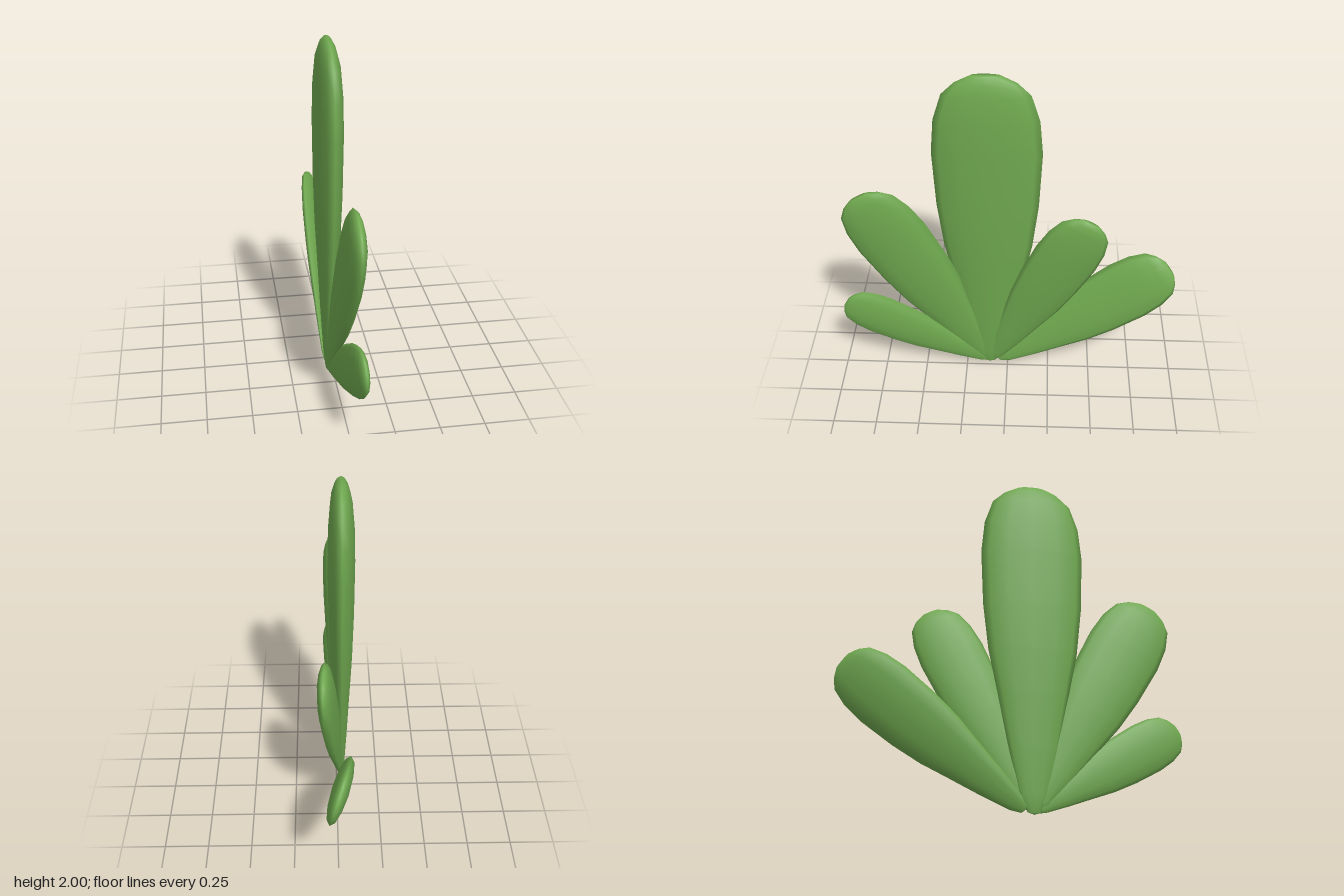
import * as THREE from 'three';

// Paddle outline: [relative half width, fraction of length]
const PROFILE = [
  [0, 0], [0.12, 0.006], [0.26, 0.05], [0.46, 0.18], [0.66, 0.33], [0.84, 0.46],
  [0.95, 0.6], [1, 0.77], [0.94, 0.87], [0.78, 0.945], [0.54, 0.98], [0.27, 1], [0, 1],
];

// Each pad grows from a shared base toward its tip in the y-z plane
const PADS = [
  { name: 'centrePad', base: [-0.03, 0, 0.11], tip: [-0.025, 2, 0.11], width: 0.595, thick: 0.15, twist: 0 },
  { name: 'upperFrontPad', base: [-0.03, 0.02, 0.11], tip: [0.03, 1.28, 0.81], width: 0.44, thick: 0.108, twist: 0 },
  { name: 'lowerFrontPad', base: [-0.03, 0.02, 0.11], tip: [0.05, 0.537, 0.943], width: 0.29, thick: 0.075, twist: 0.05 },
  { name: 'upperBackPad', base: [-0.03, 0.02, 0.1], tip: [0.08, 1.17, -0.46], width: 0.37, thick: 0.096, twist: -0.05 },
  { name: 'lowerBackPad', base: [-0.035, 0.02, 0.06], tip: [0.0, 0.805, -0.925], width: 0.375, thick: 0.095, twist: -0.33 },
];

export function createModel() {
  const group = new THREE.Group();
  group.name = 'cactus';
  const green = new THREE.MeshStandardMaterial({ color: 0x6fa84f });

  // One rounded pad of unit size, flattened by scaling
  const pad = new THREE.LatheGeometry(PROFILE.map(([r, t]) => new THREE.Vector2(r, t)), 12);

  for (const { name, base, tip, width, thick, twist } of PADS) {
    const start = new THREE.Vector3(...base);
    const axis = new THREE.Vector3(...tip).sub(start);
    const length = axis.length();
    const mesh = new THREE.Mesh(pad, green);
    mesh.name = name;
    mesh.position.copy(start);
    mesh.scale.set(thick / 2, length, width / 2);
    // twist about its own axis, lean sideways, then fan out
    mesh.rotation.set(Math.atan2(axis.z, axis.y), twist, -Math.asin(axis.x / length), 'XZY');
    group.add(mesh);
  }
  return group;
}
